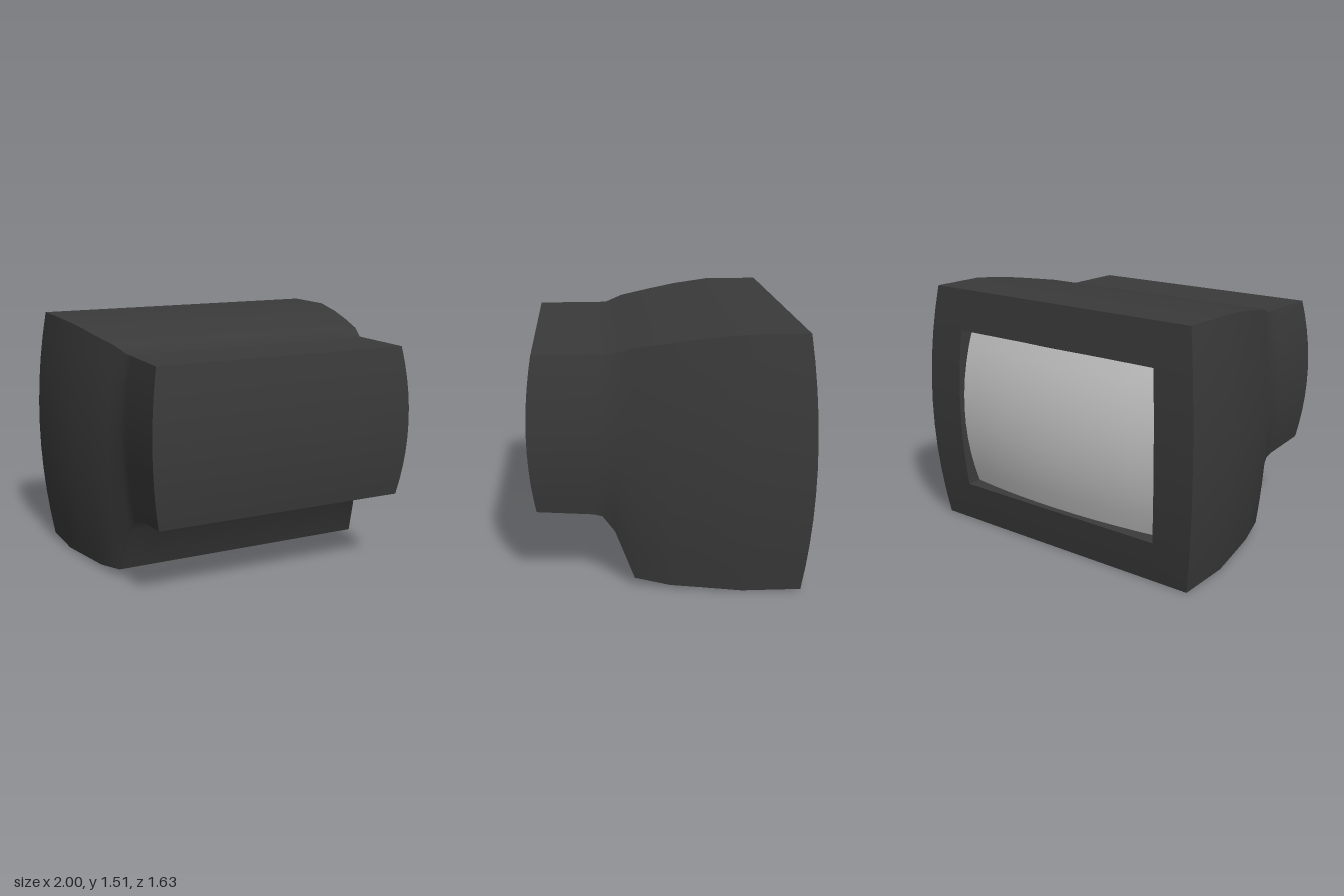
import * as THREE from 'three';
import { mergeGeometries, toCreasedNormals } from 'three/addons/utils/BufferGeometryUtils.js';

// Surface over a (nu x nv) grid; point(u, v) with u, v in 0..1 returns [x, y, z]
function grid(nu, nv, point) {
  const pos = [], index = [];
  for (let i = 0; i <= nu; i++)
    for (let j = 0; j <= nv; j++) pos.push(...point(i / nu, j / nv));
  for (let i = 0; i < nu; i++)
    for (let j = 0; j < nv; j++) {
      const a = i * (nv + 1) + j, b = a + nv + 1;
      index.push(a, b, b + 1, a, b + 1, a + 1);
    }
  const g = new THREE.BufferGeometry();
  g.setAttribute('position', new THREE.Float32BufferAttribute(pos, 3));
  g.setIndex(index);
  return g;
}

const SIDE = 10, RING = SIDE * 4;
const lerp = THREE.MathUtils.lerp;
const arc = (b) => 1 - b * b;

// Perimeter of the square -1..1, anticlockwise from the lower left corner
const corners = [[-1, -1], [1, -1], [1, 1], [-1, 1]];
function rim(t) {
  const s = t * 4, k = Math.min(Math.floor(s + 1e-6), 3), f = s - k;
  const p = corners[k], q = corners[(k + 1) % 4];
  return [lerp(p[0], q[0], f), lerp(p[1], q[1], f)];
}

// Casing cross-sections: z, top, bottom, half width at mid height
const sections = [
  [0.775, 1.38, 0.465, 0.83],
  [0.45, 1.38, 0.44, 0.83],
  [0.4, 1.38, 0.425, 0.83],
  [0.33, 1.38, 0.33, 0.835],
  [0.22, 1.42, 0.05, 0.875],
  [0.02, 1.455, 0.02, 0.925],
  [-0.16, 1.485, 0.015, 0.96],
  [-0.39, 1.51, 0.005, 1],
  [-0.735, 1.51, 0, 1],
];
const LAST = sections.length - 1;

// Point of a section, with bowed sides and bowed end faces
function casingPoint(i, a, b) {
  const [z, top, bottom, half] = sections[i];
  const bow = lerp(0.045, 0.06, i / LAST);
  const bulge = i === 0 ? 0.04 : i === LAST ? -0.052 : 0;
  return [a * (half - bow * b * b), lerp(bottom, top, (b + 1) / 2), z + bulge * arc(b)];
}

// Screen opening in the bezel and the curved glass behind it
const bezelZ = (y) => -0.735 - 0.052 * arc((y - 0.755) / 0.755);
function openingPoint(a, b) {
  const y = 0.755 + 0.505 * b;
  return [a * (0.725 + 0.022 * arc(b)), y, bezelZ(y)];
}
function glassPoint(a, b) {
  return [a * (0.71 + 0.022 * arc(b)), 0.755 + 0.495 * b, -0.815 + 0.05 * a * a + 0.076 * b * b];
}

export function createModel() {
  const model = new THREE.Group();
  const dark = new THREE.MeshStandardMaterial({ color: 0x3a3a3a });
  const grey = new THREE.MeshStandardMaterial({ color: 0xcccccc });
  const add = (name, geometry, material) => {
    const mesh = new THREE.Mesh(geometry, material);
    mesh.name = name;
    model.add(mesh);
  };

  // Casing: skin around the sections, plus the bowed face on the +z end
  const skin = grid(LAST, RING, (u, v) => casingPoint(Math.round(u * LAST), ...rim(v)));
  const endFace = grid(1, SIDE, (u, v) => casingPoint(0, u * 2 - 1, v * 2 - 1));
  add('casing', toCreasedNormals(mergeGeometries([skin, endFace]), 0.65), dark);

  // Bezel: frame around the opening and the inner reveal down to the glass
  const frame = grid(RING, 4, (u, v) => {
    const [a, b] = rim(1 - u);
    const outer = casingPoint(LAST, a, b), inner = openingPoint(a, b);
    const y = lerp(outer[1], inner[1], v);
    return [lerp(outer[0], inner[0], v), y, bezelZ(y)];
  });
  const reveal = grid(RING, 1, (u, v) => (v ? glassPoint : openingPoint)(...rim(1 - u)));
  add('bezel', toCreasedNormals(mergeGeometries([frame, reveal]), 0.5), dark);

  // Screen glass, bulging both ways
  const glass = grid(SIDE, SIDE, (u, v) => glassPoint(1 - 2 * u, 2 * v - 1));
  glass.computeVertexNormals();
  add('screen', glass, grey);

  return model;
}
